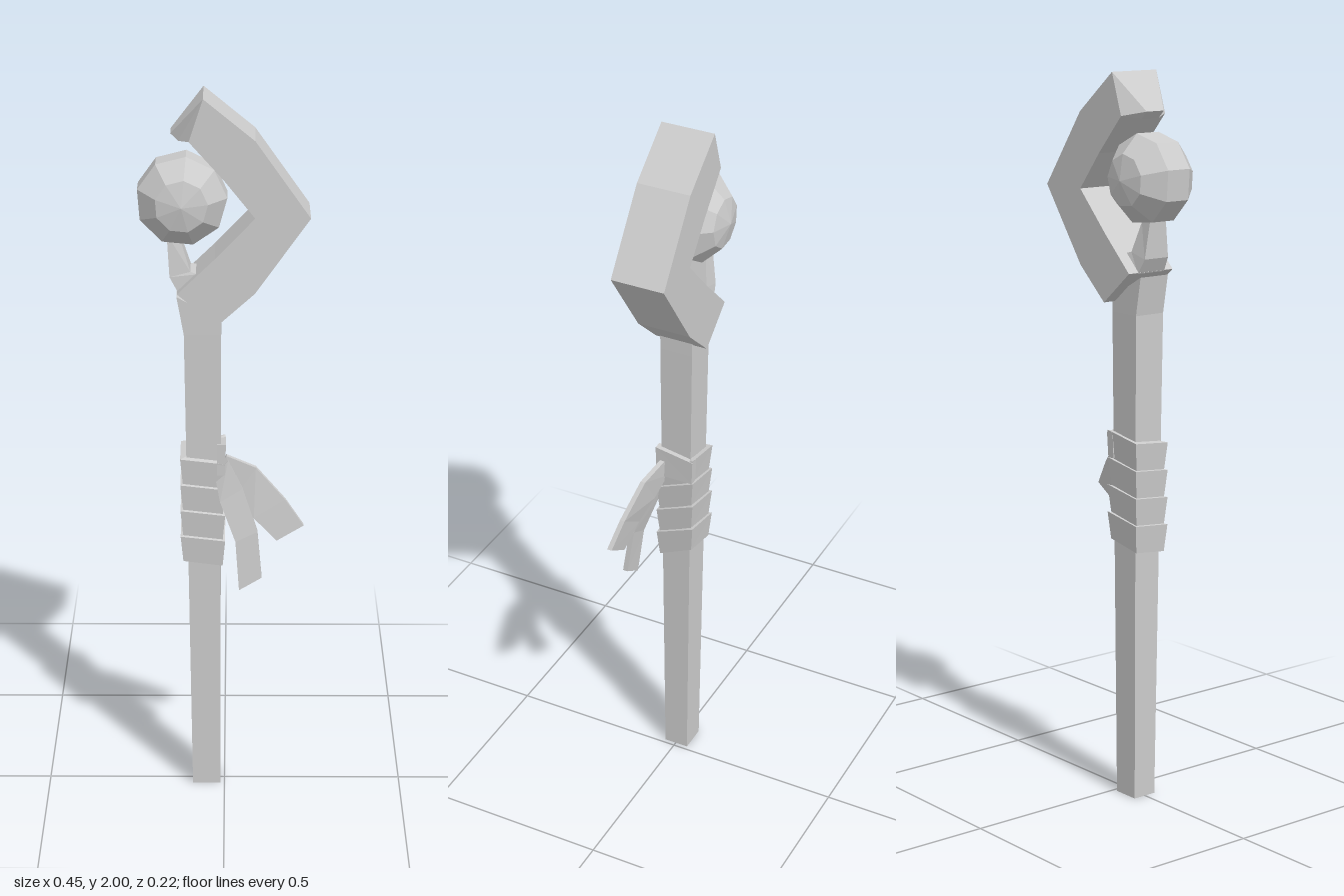
import * as THREE from 'three';

const stone = new THREE.MeshStandardMaterial({ color: 0xcccccc, flatShading: true });
stone.name = 'plain grey';

// Skin a row of four-cornered sections into a closed, flat-sided solid
function loft(name, sections) {
  const tris = [];
  const quad = (a, b, c, d) => tris.push(a, b, c, a, c, d);
  for (let i = 0; i < sections.length - 1; i++) {
    const s = sections[i], t = sections[i + 1];
    for (let k = 0; k < 4; k++) {
      const n = (k + 1) % 4;
      quad(s[k], s[n], t[n], t[k]);
    }
  }
  const first = sections[0], last = sections[sections.length - 1];
  quad(first[3], first[2], first[1], first[0]);
  quad(last[0], last[1], last[2], last[3]);

  // Turn the faces outward if the sections ran the other way
  let volume = 0;
  const A = new THREE.Vector3(), B = new THREE.Vector3(), C = new THREE.Vector3();
  const o = new THREE.Vector3(...first[0]);
  for (let i = 0; i < tris.length; i += 3) {
    A.fromArray(tris[i]).sub(o);
    B.fromArray(tris[i + 1]).sub(o);
    C.fromArray(tris[i + 2]).sub(o);
    volume += A.dot(B.cross(C));
  }
  if (volume < 0) tris.reverse();

  const geometry = new THREE.BufferGeometry();
  geometry.setAttribute('position', new THREE.Float32BufferAttribute(tris.flat(), 3));
  geometry.computeVertexNormals();
  const mesh = new THREE.Mesh(geometry, stone);
  mesh.name = name;
  return mesh;
}

// Section running between two points in the front plane, spread from z0 to z1
const slab = (ax, ay, bx, by, z0, z1) => [[ax, ay, z0], [bx, by, z0], [bx, by, z1], [ax, ay, z1]];

// Cloth strip: rows of left edge, right edge and depth
function strip(name, rows, thickness = 0.014) {
  return loft(name, rows.map(([ax, ay, bx, by, z]) => slab(ax, ay, bx, by, z - thickness, z)));
}

export function createModel() {
  const group = new THREE.Group();
  group.name = 'staff';

  // Square shaft, flaring to a point on the right side at the top
  group.add(loft('shaft', [
    slab(-0.09, 0, -0.012, 0, -0.037, 0.034),
    slab(-0.108, 1.36, -0.009, 1.36, -0.049, 0.045),
    slab(-0.127, 1.465, -0.009, 1.4, -0.049, 0.045),
  ]));

  // Bent hook with a tapered upper tip
  const back = -0.087, front = 0.063;
  group.add(loft('hook', [
    slab(-0.14, 1.9, -0.12, 1.88, -0.04, 0.018),
    slab(-0.055, 2.0, -0.092, 1.888, back, front),
    slab(0.08, 1.89, 0.0, 1.785, back, front),
    slab(0.225, 1.685, 0.08, 1.685, back, front),
    slab(0.08, 1.48, -0.025, 1.575, back, front),
    slab(-0.02, 1.39, -0.125, 1.478, back, front),
  ]));

  // Prong rising from the hook's lower end to the orb
  group.add(loft('prong', [
    slab(-0.123, 1.475, -0.07, 1.525, -0.055, 0.035),
    slab(-0.145, 1.515, -0.09, 1.53, -0.05, 0.03),
    slab(-0.152, 1.63, -0.115, 1.61, -0.035, 0.015),
  ]));

  // Faceted orb, turned about the z axis
  const profile = [[0, -0.108], [0.07, -0.092], [0.12, -0.04], [0.12, 0.033], [0.07, 0.085], [0, 0.1]];
  const orbGeometry = new THREE.LatheGeometry(profile.map(([r, y]) => new THREE.Vector2(r, y)), 9);
  orbGeometry.rotateZ(0).rotateY(0.25).rotateX(Math.PI / 2);
  const orb = new THREE.Mesh(orbGeometry, stone);
  orb.name = 'orb';
  orb.position.set(-0.112, 1.722, 0);
  group.add(orb);

  // Overlapping grip bands, each narrower at its foot and slightly tilted
  const ring = (y, g) => [
    [-0.112 - g, y, 0.045 + g], [-0.006 + g, y - 0.014, 0.045 + g],
    [-0.006 + g, y + 0.03, -0.05 - g], [-0.112 - g, y + 0.01, -0.05 - g],
  ];
  for (let i = 0; i < 4; i++) {
    const y = 0.702 + i * 0.076;
    group.add(loft('gripBand' + (i + 1), [ring(y, 0.001), ring(y + 0.076, 0.008)]));
  }

  // Raised wrap end on the left side of the grip
  group.add(loft('wrapEnd', [
    slab(-0.02, 0.96, 0.002, 0.96, -0.055, 0.052),
    [[-0.02, 1.03, -0.058], [0.004, 1.03, -0.058], [0.004, 1.05, 0.054], [-0.02, 1.05, 0.054]],
  ]));

  // Two loose cloth ends
  group.add(strip('outerClothEnd', [
    [-0.015, 0.955, 0.005, 1.012, 0.04],
    [0.03, 0.9, 0.085, 0.985, 0.058],
    [0.08, 0.845, 0.165, 0.9, 0.08],
    [0.142, 0.785, 0.215, 0.83, 0.094],
  ]));
  group.add(strip('innerClothEnd', [
    [-0.025, 0.95, 0.01, 1.0, 0.045],
    [-0.012, 0.885, 0.05, 0.925, 0.062],
    [0.03, 0.78, 0.09, 0.81, 0.092],
    [0.04, 0.642, 0.102, 0.68, 0.107],
  ]));

  return group;
}
